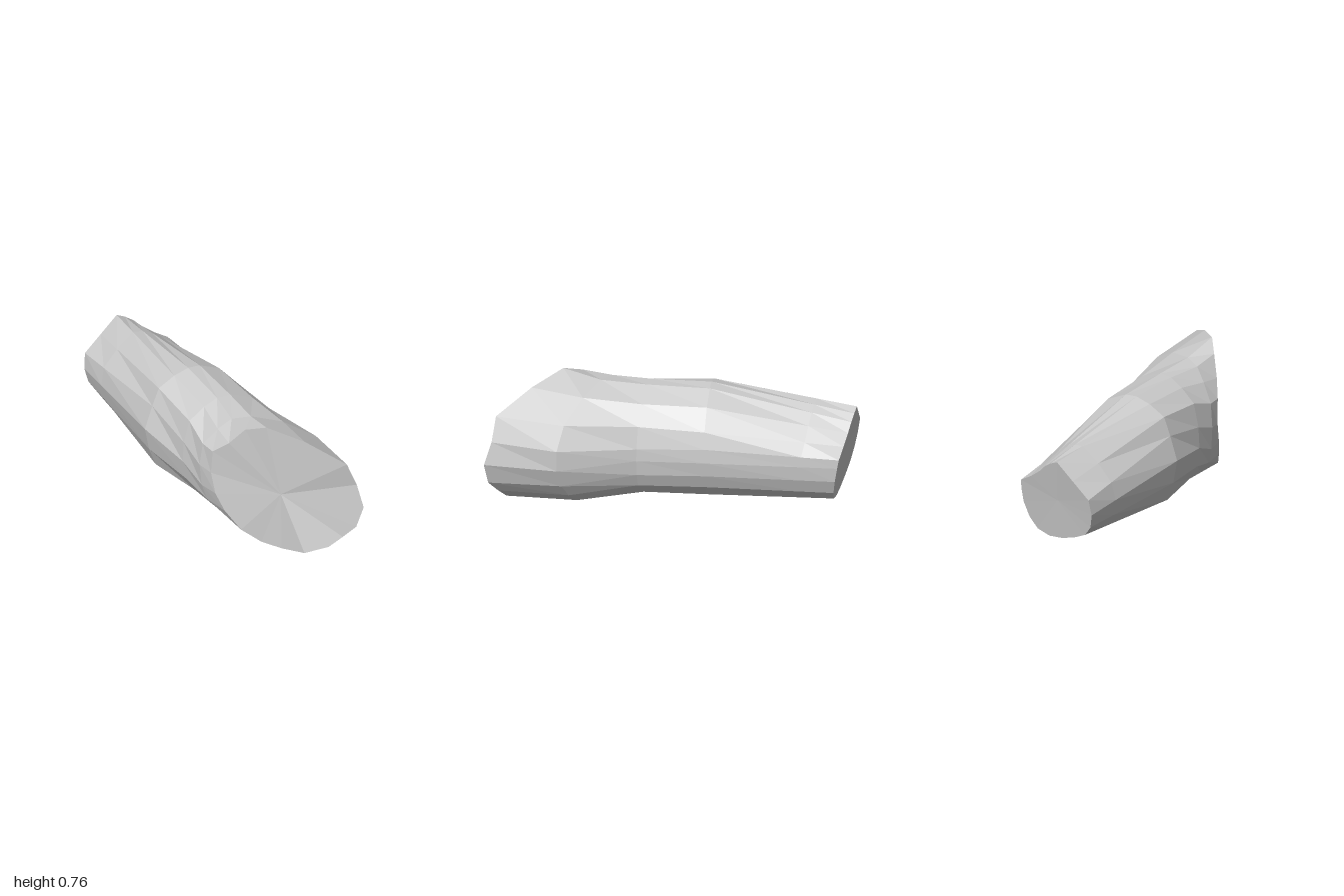
import * as THREE from 'three';

// Each outline runs counter-clockwise from the +x side, as [x, y]
const COLLAR = [
  [0.333, 0.33], [0.335, 0.45], [0.275, 0.58], [0.12, 0.675], [-0.03, 0.71], [-0.12, 0.695],
  [-0.185, 0.63], [-0.255, 0.535], [-0.27, 0.4], [-0.26, 0.27], [-0.235, 0.18], [-0.165, 0.095],
  [-0.08, 0.06], [0, 0.05], [0.08, 0.045], [0.165, 0.07], [0.235, 0.135], [0.295, 0.22],
];
const WAIST = [
  [0.253, 0.37], [0.25, 0.44], [0.215, 0.56], [0.12, 0.65], [-0.01, 0.703], [-0.085, 0.7],
  [-0.16, 0.66], [-0.245, 0.59], [-0.277, 0.46], [-0.284, 0.34], [-0.265, 0.225], [-0.215, 0.14],
  [-0.12, 0.1], [-0.02, 0.085], [0.07, 0.088], [0.15, 0.13], [0.21, 0.2], [0.243, 0.28],
];
const MIDDLE = [
  [0.247, 0.37], [0.24, 0.45], [0.21, 0.54], [0.12, 0.645], [0, 0.7], [-0.07, 0.705],
  [-0.155, 0.68], [-0.25, 0.627], [-0.29, 0.525], [-0.335, 0.39], [-0.31, 0.255], [-0.27, 0.145],
  [-0.15, 0.095], [-0.04, 0.08], [0.06, 0.085], [0.14, 0.125], [0.2, 0.2], [0.235, 0.285],
];
const BACK = [
  [0.228, 0.36], [0.225, 0.41], [0.15, 0.455], [0.085, 0.505], [0.04, 0.55], [-0.005, 0.58],
  [-0.05, 0.6], [-0.15, 0.51], [-0.25, 0.42], [-0.262, 0.33], [-0.245, 0.25], [-0.2, 0.19],
  [-0.12, 0.15], [-0.03, 0.12], [0.06, 0.108], [0.14, 0.13], [0.19, 0.19], [0.222, 0.275],
];

// Slanted, slightly uneven front rim, as [x, y, z]
const FRONT = [
  [0.32, 0.345, 1.0], [0.30, 0.475, 0.96], [0.25, 0.61, 0.94], [0.09, 0.71, 0.76],
  [-0.055, 0.76, 0.6], [-0.13, 0.715, 0.5], [-0.19, 0.61, 0.43], [-0.245, 0.53, 0.35],
  [-0.25, 0.39, 0.34], [-0.24, 0.27, 0.37], [-0.21, 0.175, 0.42], [-0.155, 0.08, 0.5],
  [-0.075, 0.02, 0.58], [0, 0.003, 0.67], [0.06, 0.03, 0.81], [0.165, 0.08, 0.89],
  [0.23, 0.145, 0.93], [0.285, 0.22, 0.98],
];
const SIDES = FRONT.length;

// Lays an outline on a plane tilted along x and y
const onPlane = (outline, z, slopeX, slopeY) =>
  outline.map(([x, y]) => [x, y, z + slopeX * x + slopeY * (y - 0.35)]);

const blend = (ringA, ringB, t) =>
  ringA.map((p, i) => p.map((v, k) => THREE.MathUtils.lerp(v, ringB[i][k], t)));

function buildMesh(name, triangles, material) {
  const geometry = new THREE.BufferGeometry();
  geometry.setAttribute('position', new THREE.Float32BufferAttribute(triangles.flat(2), 3));
  geometry.computeVertexNormals();
  const mesh = new THREE.Mesh(geometry, material);
  mesh.name = name;
  return mesh;
}

// Triangle fan closing a ring
function fan(ring, centre, facesFront) {
  return ring.map((p, i) => {
    const q = ring[(i + 1) % SIDES];
    return facesFront ? [centre, p, q] : [centre, q, p];
  });
}

export function createModel() {
  const group = new THREE.Group();
  group.name = 'limbSegment';
  const material = new THREE.MeshStandardMaterial({ color: 0xcccccc, flatShading: true });

  const collar = onPlane(COLLAR, 0.41, 0.58, 0);
  const waist = onPlane(WAIST, 0.14, 0.15, 0);
  const middle = onPlane(MIDDLE, -0.2, 0.05, 0);
  const back = onPlane(BACK, -0.945, 0.155, -0.17);
  // Narrowing before the back end, with a flattened underside
  const rear = blend(middle, back, 0.72).map(([x, y, z]) => [x, Math.max(y, 0.122), z]);
  const rings = [FRONT, collar, waist, middle, rear, back];

  // Side wall between neighbouring rings
  const wall = [];
  for (let r = 0; r < rings.length - 1; r++) {
    for (let i = 0; i < SIDES; i++) {
      const j = (i + 1) % SIDES;
      const a = rings[r][i], b = rings[r][j], c = rings[r + 1][i], d = rings[r + 1][j];
      wall.push([a, c, b], [b, c, d]);
    }
  }
  group.add(buildMesh('limbWall', wall, material));

  // End caps
  group.add(buildMesh('frontCap', fan(FRONT, [0, 0.345, 0.66], true), material));
  group.add(buildMesh('backCap', fan(back, [-0.02, 0.35, -0.94], false), material));
  return group;
}
